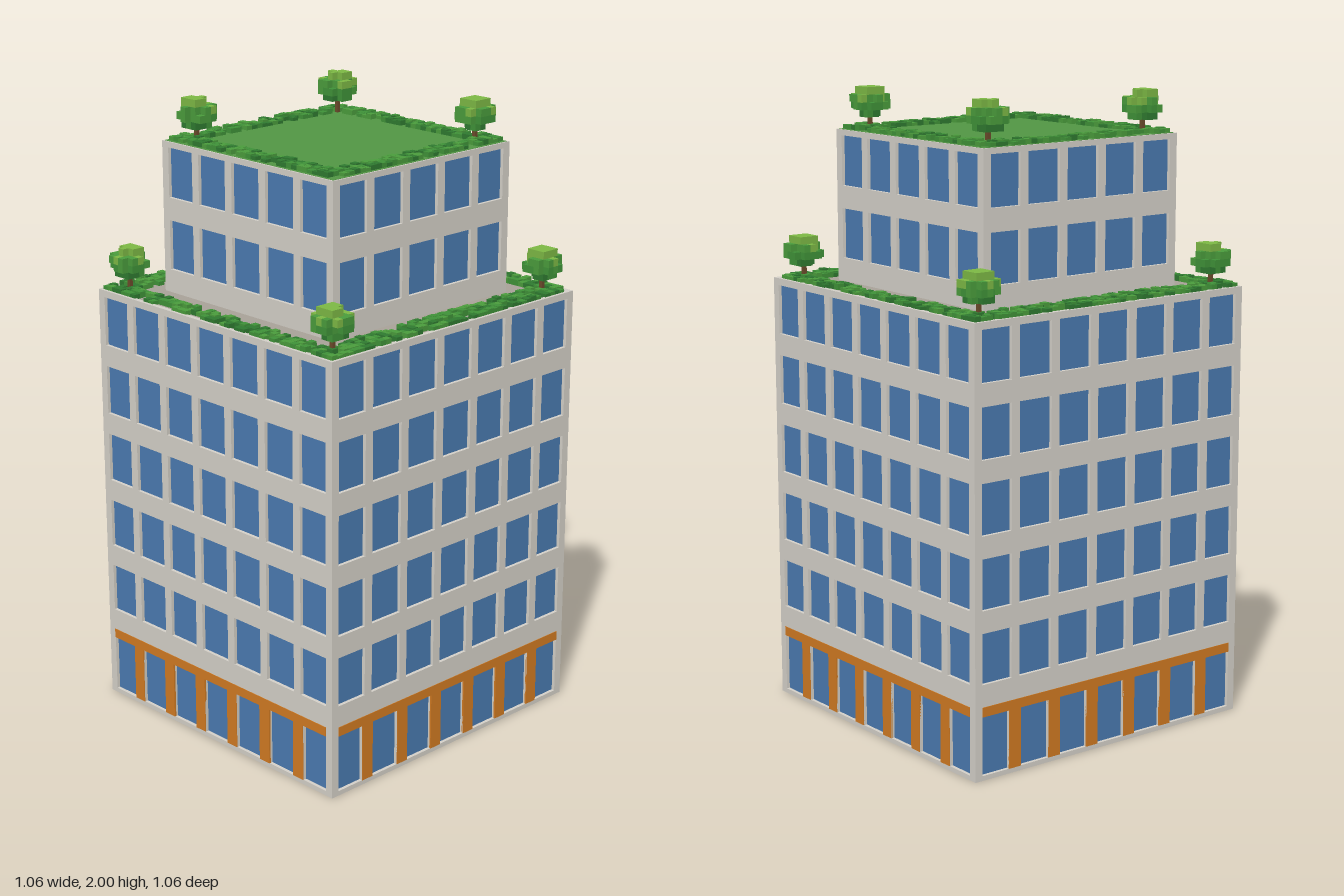
import * as THREE from 'three';
import { mergeGeometries } from 'three/addons/utils/BufferGeometryUtils.js';

const mat = (color, side = THREE.FrontSide) =>
  new THREE.MeshStandardMaterial({ color, side, flatShading: true });
const wallMat = mat(0xd4d0c8);
const glassMat = mat(0x4a7ab0, THREE.DoubleSide);
const orangeMat = mat(0xd07a22);
const terraceMat = mat(0xa8a298);
const lawnMat = mat(0x529644);
const trunkMat = mat(0x6b4a2b);
const leafMats = [mat(0x2f7a30), mat(0x3f9238), mat(0x4a9c3c), mat(0x7cb844)];

const WALL = 0.016; // wall thickness
const CELL = 0.022; // foliage block size

// small seeded random generator
let seed = 11;
const rnd = () => {
  seed = (seed * 1664525 + 1013904223) % 4294967296;
  return seed / 4294967296;
};

function add(group, name, geometry, material) {
  const mesh = new THREE.Mesh(geometry, material);
  mesh.name = name;
  group.add(mesh);
  return mesh;
}

const block = (w, h, d, x, y, z) => new THREE.BoxGeometry(w, h, d).translate(x, y, z);

function rectPath(path, x0, x1, y0, y1) {
  path.moveTo(x0, y0);
  path.lineTo(x1, y0);
  path.lineTo(x1, y1);
  path.lineTo(x0, y1);
  path.closePath();
  return path;
}

// a row of windows on a 0.15 pitch, the end ones trimmed at the limit
function windowRow(count, width, limit, y0, y1) {
  return Array.from({ length: count }, (_, i) => {
    const c = (i - (count - 1) / 2) * 0.15;
    return [Math.max(c - width / 2, -limit), Math.min(c + width / 2, limit), y0, y1];
  });
}

// four walls with window openings and recessed panes
function storeyBlock(name, half, y0, y1, windows) {
  const group = new THREE.Group();
  group.name = name;
  const shape = rectPath(new THREE.Shape(), -half, half - WALL, y0, y1);
  windows.forEach(w => shape.holes.push(rectPath(new THREE.Path(), ...w)));
  const wall = new THREE.ExtrudeGeometry(shape, { depth: WALL, bevelEnabled: false })
    .translate(0, 0, half - WALL);
  const panes = mergeGeometries(windows.map(([a, b, c, d]) =>
    new THREE.PlaneGeometry(b - a, d - c).translate((a + b) / 2, (c + d) / 2, half - 0.011)));
  for (let i = 0; i < 4; i++) {
    const side = new THREE.Group();
    side.name = 'facade';
    side.rotation.y = i * Math.PI / 2;
    add(side, 'wall', wall, wallMat);
    add(side, 'windowPanes', panes, glassMat);
    group.add(side);
  }
  return group;
}

// foliage blocks gathered by shade, one mesh per shade
function foliage(name, blocks) {
  const group = new THREE.Group();
  group.name = name;
  leafMats.forEach((m, shade) => {
    const list = blocks.filter(b => b.shade === shade).map(b => b.geometry);
    if (list.length) add(group, 'leaves', mergeGeometries(list), m);
  });
  return group;
}

// square ring of low hedge blocks with random gaps
function hedge(half, rowsX, rowsZ, y, fill) {
  const blocks = [];
  const n = Math.round(2 * half / CELL);
  for (let i = 0; i < n; i++) {
    for (let k = 0; k < n; k++) {
      const inX = Math.min(i, n - 1 - i) < rowsX;
      const inZ = Math.min(k, n - 1 - k) < rowsZ;
      if (!(inX || inZ) || rnd() > fill) continue;
      const h = 0.014 + 0.008 * rnd();
      blocks.push({
        shade: Math.floor(rnd() * 3),
        geometry: block(CELL, h, CELL,
          (i - (n - 1) / 2) * CELL, y + h / 2, (k - (n - 1) / 2) * CELL),
      });
    }
  }
  return foliage('hedge', blocks);
}

// blocky tree: trunk and a rounded crown that lightens toward the top
function tree(x, y, z) {
  const group = new THREE.Group();
  group.name = 'tree';
  group.position.set(x, y, z);
  add(group, 'trunk', block(0.012, 0.07, 0.012, 0, 0.035, 0), trunkMat);
  const radii = [1.5, 2.4, 2.3, 1.5];
  const blocks = [];
  radii.forEach((r, level) => {
    for (let i = -2; i <= 2; i++) {
      for (let k = -2; k <= 2; k++) {
        if (Math.hypot(i, k) > r + (rnd() - 0.5) * 0.5) continue;
        const shade = level === 3 ? 3 : Math.min(3, level + (rnd() < 0.4 ? 1 : 0));
        blocks.push({
          shade,
          geometry: block(CELL, 0.0235, CELL, i * CELL, 0.058 + level * 0.0235, k * CELL),
        });
      }
    }
  });
  group.add(foliage('crown', blocks));
  return group;
}

export function createModel() {
  seed = 11;
  const model = new THREE.Group();
  model.name = 'building';
  const A = 0.527, B = 0.378; // half widths of main block and tower

  // main block: shop front and five office floors
  const posts = [-0.378, -0.226, -0.075, 0.075, 0.226, 0.378];
  const edges = [-0.5, ...posts.flatMap(p => [p - 0.022, p + 0.022]), 0.5];
  const windows = [];
  for (let i = 0; i < 14; i += 2) windows.push([edges[i], edges[i + 1], 0.015, 0.2]);
  for (let f = 0; f < 5; f++) {
    const y = 0.3 + f * 0.2275;
    windows.push(...windowRow(7, 0.12, 0.5, y, y + 0.158));
  }
  const main = storeyBlock('mainBlock', A, 0, 1.39, windows);
  model.add(main);

  // orange posts and lintel around the shop windows
  const trim = mergeGeometries([
    block(1, 0.03, 0.006, 0, 0.215, A - 0.001),
    ...posts.map(p => block(0.044, 0.185, 0.006, p, 0.1075, A - 0.001)),
  ]);
  main.children.forEach(side => add(side, 'shopTrim', trim, orangeMat));

  // terrace and upper tower
  const inner = 2 * (A - WALL / 2);
  add(model, 'terrace', block(inner, 0.02, inner, 0, 1.376, 0), terraceMat);
  model.add(storeyBlock('tower', B, 1.38, 1.866, [
    ...windowRow(5, 0.12, 0.35, 1.46, 1.618),
    ...windowRow(5, 0.12, 0.35, 1.69, 1.848),
  ]));
  const top = 2 * (B - 0.006);
  add(model, 'roofLawn', block(top, 0.012, top, 0, 1.861, 0), lawnMat);

  // planting
  model.add(hedge(0.518, 3, 4, 1.384, 0.72));
  model.add(hedge(0.363, 3, 3, 1.862, 0.85));
  for (const x of [-0.457, 0.457]) {
    for (const z of [-0.457, 0.457]) model.add(tree(x, 1.386, z));
  }
  [[-0.302, -0.302], [0.302, -0.302], [0.302, 0.302]]
    .forEach(([x, z]) => model.add(tree(x, 1.86, z)));
  return model;
}
